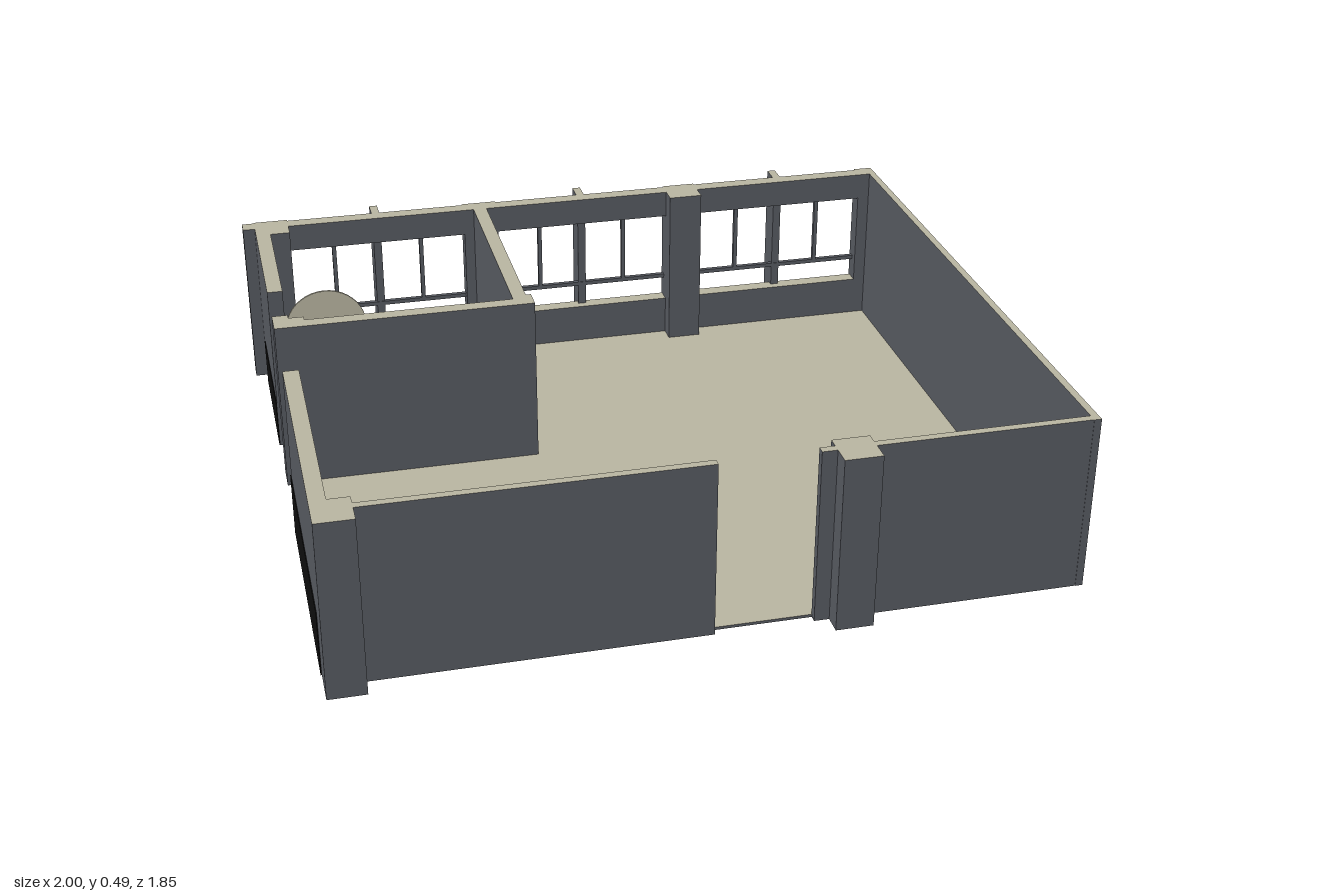
import * as THREE from 'three';

export function createModel() {
  const model = new THREE.Group();
  const wall = new THREE.MeshStandardMaterial({ color: 0x565960 });
  const beige = new THREE.MeshStandardMaterial({ color: 0xb8b4a0 });
  const black = new THREE.MeshStandardMaterial({ color: 0x0e0e0e });
  wall.name = 'slate wall';
  beige.name = 'beige plaster';
  black.name = 'black cladding';

  const H = 0.49;
  const capped = [wall, wall, beige, wall, wall, wall]; // beige upper face

  // box given by its extents in x, z and y
  function block(name, x0, x1, z0, z1, y0 = 0, y1 = H, material = capped) {
    const mesh = new THREE.Mesh(new THREE.BoxGeometry(x1 - x0, y1 - y0, z1 - z0), material);
    mesh.position.set((x0 + x1) / 2, (y0 + y1) / 2, (z0 + z1) / 2);
    mesh.name = name;
    model.add(mesh);
    return mesh;
  }

  // floor slab
  block('floor', -0.945, 0.998, -0.865, 0.853, 0, 0.008, [wall, wall, beige, beige, wall, wall]);

  // right wall with a black outside face
  block('rightWall', 0.98, 1, -0.875, 0.873, 0, H, [black, wall, beige, wall, wall, wall]);

  // front wall, either side of the entrance, with its pillars
  block('frontWallLeft', -0.87, 0.01, 0.85, 0.872);
  block('frontWallRight', 0.27, 0.98, 0.85, 0.872);
  for (const x of [-0.965, 0.31]) block('frontPillar', x, x + 0.1, 0.82, 0.925);

  // side wall with two doorways
  block('sideWallFront', -0.965, -0.922, 0.14, 0.82);
  block('sideWallBack', -0.965, -0.922, -0.775, -0.36);
  block('sideWallStub', -0.965, -0.922, -0.2, -0.18);
  block('sideCladding', -0.968, -0.965, 0.14, 0.82, 0, 0.18, black);
  block('sideCladding', -0.968, -0.965, -0.775, -0.36, 0, 0.14, black);

  // small inner room
  block('roomWallFront', -0.88, -0.3, -0.16, -0.12);
  block('roomWallSide', -0.3, -0.26, -0.825, -0.18);
  block('roomPost', -0.965, -0.88, -0.18, -0.12);
  block('roomPost', -0.3, -0.245, -0.18, -0.12);
  const disc = new THREE.Mesh(new THREE.CylinderGeometry(0.115, 0.115, 0.006, 40), beige);
  disc.rotation.x = Math.PI / 2;
  disc.position.set(-0.805, 0.355, -0.38);
  disc.name = 'roundPanel';
  model.add(disc);

  // back wall columns
  block('backCornerPillar', -0.965, -0.865, -0.875, -0.775);
  block('backCornerRib', -1, -0.965, -0.87, -0.825);
  block('backColumn', -0.33, -0.225, -0.875, -0.825);
  block('backPillar', 0.31, 0.41, -0.875, -0.775);
  block('backWallEnd', 0.945, 0.98, -0.875, -0.825);

  // window bays: parapet, lintel, outer fin and glazing bars
  const bays = [[-0.865, -0.33, -0.597], [-0.225, 0.31, 0.043], [0.41, 0.945, 0.682]];
  for (const [x0, x1, fin] of bays) {
    block('parapet', x0, x1, -0.868, -0.825, 0, 0.125);
    block('lintel', x0, x1, -0.868, -0.825, 0.41, H);
    block('windowFin', fin - 0.012, fin + 0.012, -0.925, -0.85);
    block('windowRail', x0, x1, -0.862, -0.848, 0.188, 0.2, wall);
    for (const x of [(x0 + fin) / 2, (x1 + fin) / 2]) {
      block('windowBar', x - 0.006, x + 0.006, -0.862, -0.848, 0.2, 0.41, wall);
    }
  }
  return model;
}
